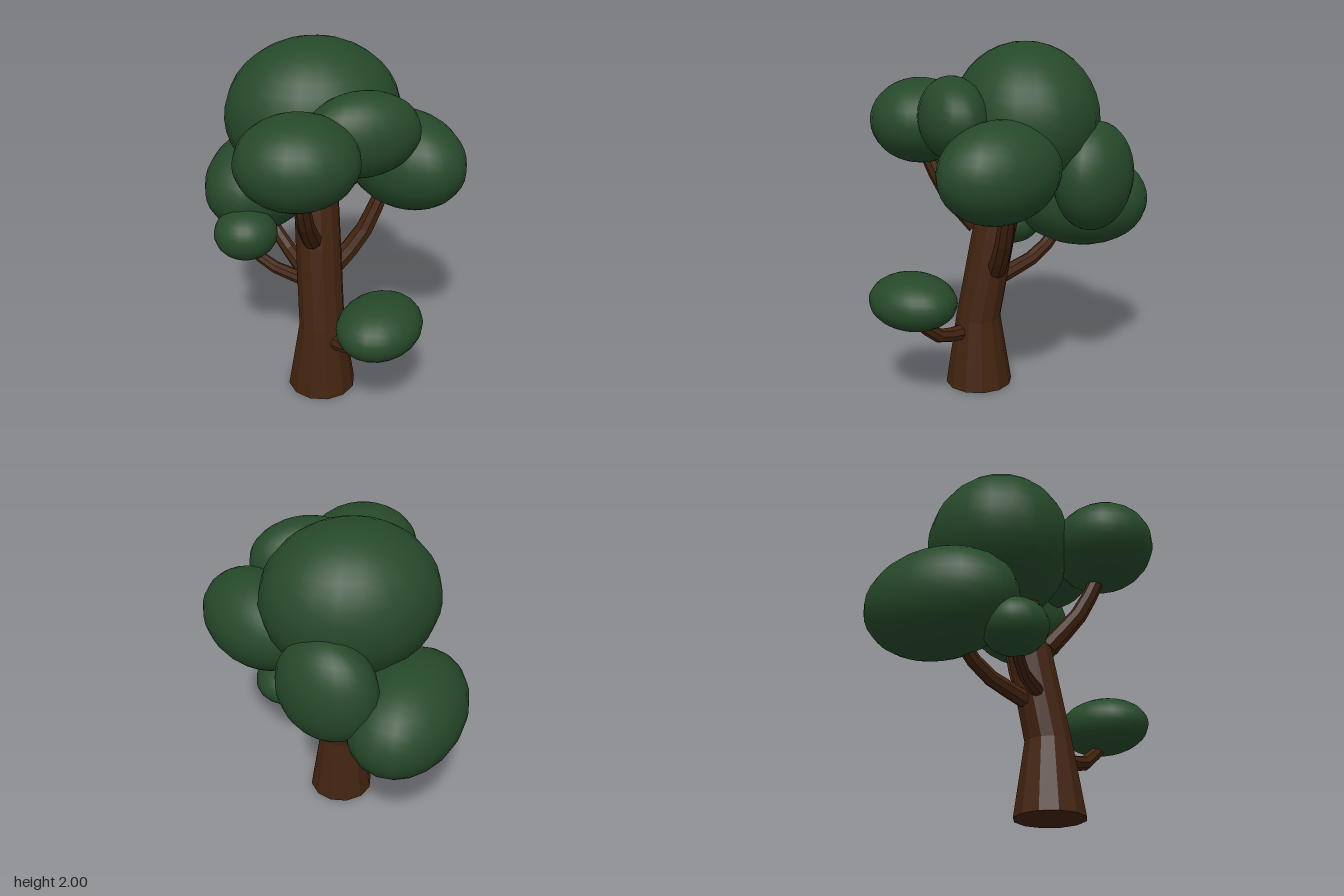
import * as THREE from 'three';

const bark = new THREE.MeshStandardMaterial({ color: 0x42230f, flatShading: true });
bark.name = 'bark brown';
const leaf = new THREE.MeshStandardMaterial({ color: 0x26492a });
leaf.name = 'leaf green';

// Leaning trunk: a unit cylinder whose rings follow [y, x, z, radius]
function trunkGeometry() {
  const rings = [
    [0, -0.09, 0.2, 0.195],
    [0.41, -0.087, 0.2, 0.131],
    [0.9, -0.09, 0.108, 0.128],
    [1.32, -0.09, 0.02, 0.122],
  ];
  const geo = new THREE.CylinderGeometry(1, 1, 1, 12, rings.length - 1);
  const pos = geo.attributes.position;
  for (let i = 0; i < pos.count; i++) {
    const k = Math.round((pos.getY(i) + 0.5) * (rings.length - 1));
    const [y, x, z, r] = rings[k];
    pos.setXYZ(i, x + pos.getX(i) * r, y, z + pos.getZ(i) * r);
  }
  geo.computeVertexNormals();
  return geo;
}

// Bent branch: a tube that narrows towards its tip, closed at its base
function branch(name, radius, points) {
  const curve = new THREE.CatmullRomCurve3(points.map((p) => new THREE.Vector3(...p)));
  const segments = 4, sides = 8;
  const geo = new THREE.TubeGeometry(curve, segments, radius, sides);
  const pos = geo.attributes.position;
  const v = new THREE.Vector3();
  for (let i = 0; i < pos.count; i++) {
    const t = Math.floor(i / (sides + 1)) / segments;
    const centre = curve.getPointAt(t);
    v.fromBufferAttribute(pos, i).sub(centre).multiplyScalar(1 - 0.25 * t).add(centre);
    pos.setXYZ(i, v.x, v.y, v.z);
  }
  const group = new THREE.Group();
  group.name = name;
  group.add(new THREE.Mesh(geo, bark));
  for (const t of [0, 1]) {
    const cap = new THREE.Mesh(new THREE.CircleGeometry(radius * (1 - 0.25 * t), sides), bark);
    cap.position.copy(curve.getPointAt(t));
    cap.lookAt(cap.position.clone().addScaledVector(curve.getTangentAt(t), t ? 1 : -1));
    group.add(cap);
  }
  return group;
}

export function createModel() {
  const tree = new THREE.Group();
  tree.name = 'tree';

  const trunk = new THREE.Mesh(trunkGeometry(), bark);
  trunk.name = 'trunk';
  tree.add(trunk);

  tree.add(
    branch('frontRightBranch', 0.055, [[-0.14, 0.95, 0.2], [-0.205, 1.15, 0.37], [-0.24, 1.36, 0.47]]),
    branch('leftBranch', 0.058, [[0.0, 0.72, 0.1], [0.16, 0.9, 0.085], [0.29, 1.18, 0.07]]),
    branch('backBranch', 0.05, [[-0.12, 0.62, 0.1], [-0.24, 0.73, -0.18], [-0.33, 0.86, -0.32]]),
    branch('rightBranch', 0.04, [[-0.16, 0.66, 0.14], [-0.36, 0.71, 0.0], [-0.47, 0.82, -0.05]]),
    branch('lowFrontBranch', 0.047, [[-0.04, 0.335, 0.29], [0.08, 0.365, 0.44], [0.17, 0.5, 0.57]]),
  );

  // Foliage: name, centre, radii, turn about y
  const clumps = [
    ['crownFoliage', [-0.08, 1.58, -0.075], [0.485, 0.42, 0.415], 0],
    ['frontRightFoliage', [-0.257, 1.553, 0.5], [0.317, 0.24, 0.285], 0],
    ['frontFoliage', [0.1, 1.61, 0.345], [0.312, 0.225, 0.185], 0.12],
    ['leftFoliage', [0.385, 1.367, 0.13], [0.37, 0.272, 0.265], -0.96],
    ['backLeftFoliage', [0.105, 1.275, -0.43], [0.29, 0.305, 0.205], -0.72],
    ['backRightFoliage', [-0.33, 1.063, -0.43], [0.444, 0.3, 0.304], 0.93],
    ['rightFoliage', [-0.48, 0.89, -0.06], [0.182, 0.15, 0.18], 0],
    ['lowFrontFoliage', [0.157, 0.612, 0.587], [0.266, 0.157, 0.217], 0.78],
  ];
  const ball = new THREE.SphereGeometry(1, 20, 18);
  for (const [name, centre, radii, turn] of clumps) {
    const clump = new THREE.Mesh(ball, leaf);
    clump.name = name;
    clump.position.set(...centre);
    clump.scale.set(...radii);
    clump.rotation.y = turn;
    tree.add(clump);
  }
  return tree;
}
